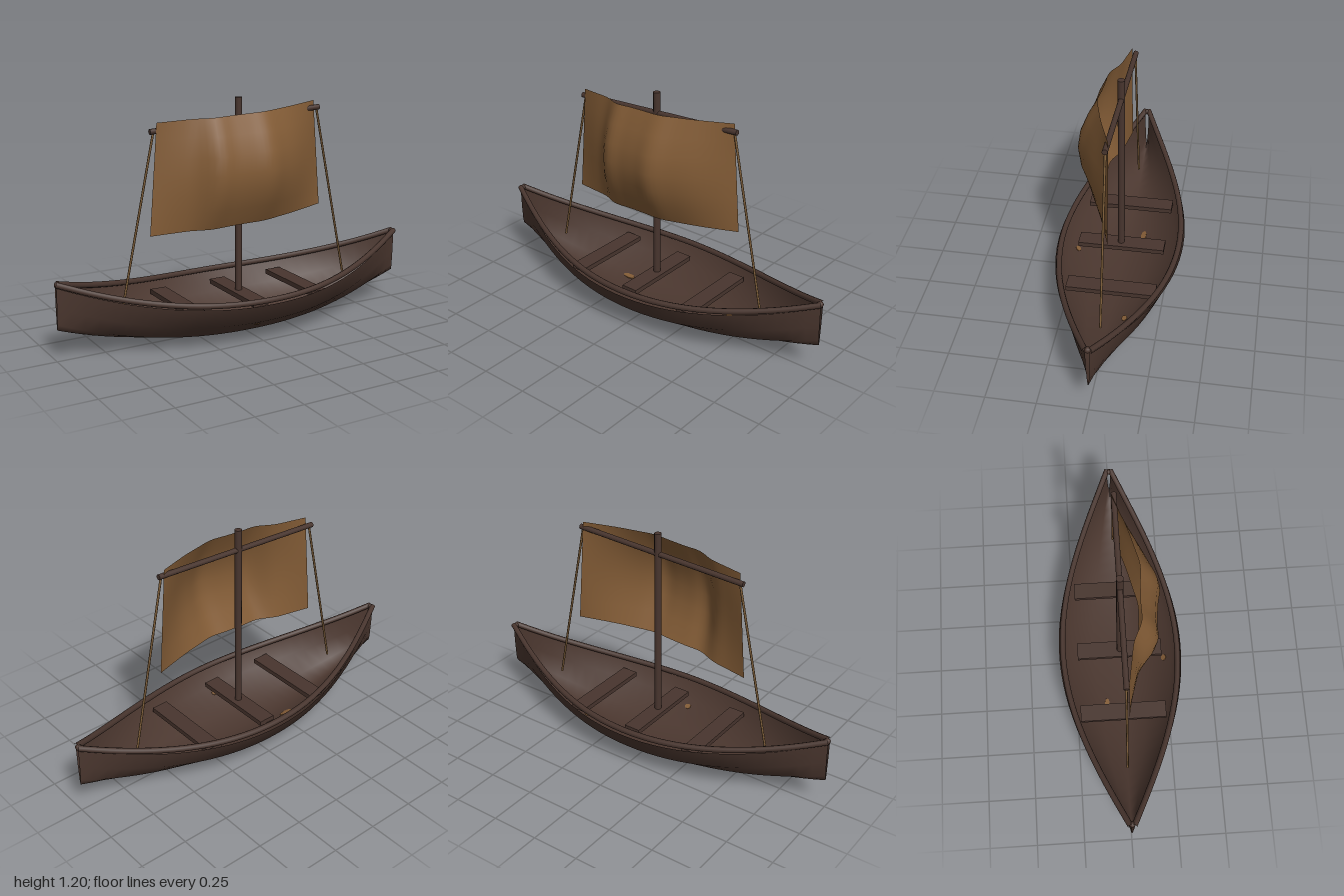
import * as THREE from 'three';

const mat = (name, color, side = THREE.FrontSide) => {
  const m = new THREE.MeshStandardMaterial({ color, side });
  m.name = name;
  return m;
};

// Hull lines: half beam, keel height and sheer height along the length
const rise = x => Math.pow(Math.abs(x), 2.3);
const beam = x => 0.006 + 0.324 * Math.cos(x * Math.PI / 2);
const keel = x => 0.16 * rise(x);
const sheer = x => 0.215 + 0.157 * rise(x);
// Half cross-section: fraction of beam, fraction of height
const section = [[0, 0], [0.42, 0.13], [0.83, 0.52], [1, 1]];

// Sail depth across its width, evenly spaced from right edge to left edge
const billow = new THREE.CatmullRomCurve3(
  [0, 0.18, 0.38, 0.8, 0.84, 0.91, 0.99, 0.8, 0.58, 0.3, 0].map((d, i) => new THREE.Vector3(i / 10, d, 0)),
  false, 'catmullrom');

// A plane grid bent by a rule (u left to right, v top to bottom)
function bentSheet(nu, nv, rule) {
  const g = new THREE.PlaneGeometry(1, 1, nu, nv);
  const p = g.attributes.position;
  for (let i = 0; i < p.count; i++) {
    const [x, y, z] = rule(p.getX(i) + 0.5, 0.5 - p.getY(i));
    p.setXYZ(i, x, y, z);
  }
  g.computeVertexNormals();
  return g;
}

// A round pole between two points
function pole(a, b, r, sides = 10) {
  const from = new THREE.Vector3(...a), to = new THREE.Vector3(...b);
  const dir = to.clone().sub(from);
  const g = new THREE.CylinderGeometry(r, r, dir.length(), sides);
  g.applyQuaternion(new THREE.Quaternion().setFromUnitVectors(new THREE.Vector3(0, 1, 0), dir.normalize()));
  const mid = from.add(to).multiplyScalar(0.5);
  return g.translate(mid.x, mid.y, mid.z);
}

export function createModel() {
  const boat = new THREE.Group();
  boat.name = 'sailingBoat';
  const hullWood = mat('hullWood', 0x4b372f, THREE.DoubleSide);
  const sparWood = mat('sparWood', 0x48352e);
  const canvas = mat('canvas', 0x835c36, THREE.DoubleSide);
  const hemp = mat('hemp', 0x80603b);
  const add = (name, geometry, material) => {
    const m = new THREE.Mesh(geometry, material);
    m.name = name;
    boat.add(m);
    return m;
  };

  // Open shell from one gunwale, under the keel, to the other
  add('hull', bentSheet(32, 6, (u, v) => {
    const x = (u * 2 - 1) * 0.993;
    const k = Math.round(v * 6) - 3;
    const [w, h] = section[Math.abs(k)];
    return [x, THREE.MathUtils.lerp(keel(x), sheer(x), h), -Math.sign(k) * w * beam(x)];
  }), hullWood);

  // Gunwale rails with rounded tips
  for (const side of [-1, 1]) {
    const points = [];
    for (let i = 0; i <= 16; i++) {
      const x = (i / 8 - 1) * 0.993;
      points.push(new THREE.Vector3(x, sheer(x) + 0.016, side * 0.935 * beam(x)));
    }
    add(side > 0 ? 'frontRail' : 'backRail',
      new THREE.TubeGeometry(new THREE.CatmullRomCurve3(points), 40, 0.015, 8), sparWood);
    add('railTip', new THREE.SphereGeometry(0.016, 10, 8), sparWood)
      .position.set(side * 0.984, sheer(0.984) + 0.016, 0);
  }

  // Bench planks
  for (const x of [-0.35, 0, 0.35]) {
    add('bench', new THREE.BoxGeometry(0.088, 0.025, 0.455), sparWood).position.set(x, 0.187, -0.003);
  }

  // Mast stepped on the middle bench, and slightly tilted yard
  add('mast', pole([0, 0.18, 0], [0, 1.2, 0], 0.018, 12), sparWood);
  add('yard', pole([-0.49, 1.066, 0], [0.48, 1.115, 0], 0.014), sparWood);

  // Stays from the yard ends down into the hull
  add('rightStay', pole([-0.47, 1.067, 0], [-0.655, 0.2, 0], 0.006, 6), hemp);
  add('leftStay', pole([0.465, 1.112, 0], [0.655, 0.2, 0], 0.006, 6), hemp);

  // Billowing sail, deepest halfway down
  add('sail', bentSheet(40, 6, (u, v) => {
    const { lerp } = THREE.MathUtils;
    const x = lerp(lerp(-0.46, -0.505, v), lerp(0.455, 0.5, v), u);
    const y = lerp(lerp(1.11, 1.15, u), lerp(0.555, 0.595, u), v);
    const depth = 0.102 * (1 + Math.sin(Math.PI * v)) * billow.getPoint(u).y;
    return [x, y, depth + lerp(0.015, -0.012, u)];
  }), canvas);

  // Small canvas scraps lying on the inside of the hull
  for (const [x, y, z, w, tilt] of [
    [-0.265, 0.028, -0.085, 0.08, 0.2], [0.415, 0.044, -0.08, 0.04, 0.2], [-0.03, 0.092, 0.24, 0.035, -0.56],
  ]) {
    const scrap = add('canvasScrap', new THREE.CylinderGeometry(0.5, 0.5, 0.006, 7), canvas);
    scrap.scale.set(w, 1, 0.03);
    scrap.position.set(x, y, z);
    scrap.rotation.x = tilt;
  }
  return boat;
}
